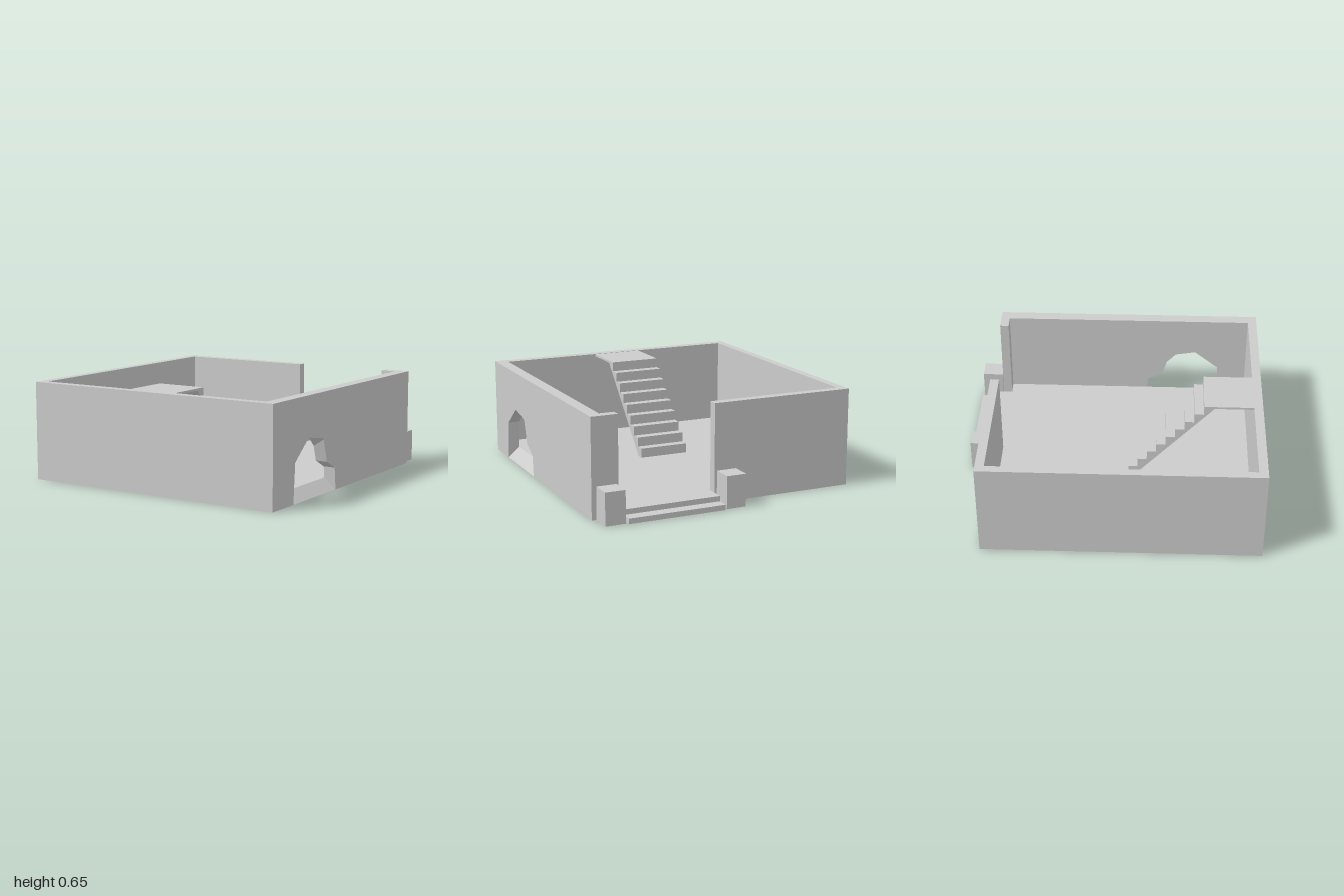
import * as THREE from 'three';

const H = 0.655;      // wall top
const F = 0.07;       // floor level
const material = new THREE.MeshStandardMaterial({ color: 0xcccccc, side: THREE.DoubleSide, flatShading: true });

function addMesh(parent, name, geometry) {
  const mesh = new THREE.Mesh(geometry, material);
  mesh.name = name;
  parent.add(mesh);
  return mesh;
}

// Strip of flat quads between two 3D paths of equal length
function band(a, b) {
  const pos = [];
  for (let i = 0; i < a.length - 1; i++) {
    for (const p of [a[i], a[i + 1], b[i + 1], a[i], b[i + 1], b[i]]) pos.push(...p);
  }
  const g = new THREE.BufferGeometry();
  g.setAttribute('position', new THREE.Float32BufferAttribute(pos, 3));
  g.computeVertexNormals();
  return g;
}

const toShape = (pts) => new THREE.Shape(pts.map(([x, y]) => new THREE.Vector2(x, y)));

// Flat panel at a given x, outlined by [z, y] points
function sidePanel(x, pts) {
  return new THREE.ShapeGeometry(toShape(pts.map(([z, y]) => [-z, y])))
    .rotateY(Math.PI / 2).translate(x, 0, 0);
}

// Open-based solid: a [z, y] profile swept from x0 to x1 with end panels
function prism(parent, name, profile, x0, x1) {
  const group = new THREE.Group();
  group.name = name;
  const at = (x) => profile.map(([z, y]) => [x, y, z]);
  addMesh(group, name + 'Surface', band(at(x0), at(x1)));
  addMesh(group, name + 'RightSide', sidePanel(x0, profile));
  addMesh(group, name + 'LeftSide', sidePanel(x1, profile));
  parent.add(group);
}

export function createModel() {
  const model = new THREE.Group();
  model.name = 'walledRoom';

  // Wall outlines as [x, z], running round from one side of the doorway to the other
  const outer = [[0.07, -0.84], [-0.915, -0.84], [-0.915, 1], [0.91, 1], [0.91, -0.84], [0.73, -0.84]];
  const inner = [[0.07, -0.78], [-0.86, -0.78], [-0.86, 0.94], [0.83, 0.94], [0.83, -0.78], [0.73, -0.78]];
  const lift = (pts, y) => pts.map(([x, z]) => [x, y, z]);

  // Plain walls, skipping the side that holds the broken opening
  const walls = new THREE.Group();
  walls.name = 'walls';
  model.add(walls);
  for (const [from, to] of [[0, 4], [4, 6]]) {
    const o = outer.slice(from, to), n = inner.slice(from, to);
    addMesh(walls, 'outerWall', band(lift(o, 0), lift(o, H)));
    addMesh(walls, 'innerWall', band(lift(n, H), lift(n, F)));
  }
  addMesh(walls, 'wallTop', band(lift(outer, H), lift(inner, H)));

  // Doorway jambs
  for (const x of [0.07, 0.73]) {
    addMesh(walls, 'doorJamb', band([[x, 0, -0.84], [x, H, -0.84]], [[x, 0, -0.78], [x, H, -0.78]]));
  }

  // Side wall with a jagged opening, [z, y]
  const archOut = [[0.755, 0], [0.735, 0.26], [0.57, 0.39], [0.39, 0.362], [0.38, 0.35],
    [0.335, 0.2], [0.23, 0.145], [0.215, 0]];
  const archIn = [[0.75, F], [0.735, 0.26], [0.57, 0.39], [0.43, 0.367], [0.365, 0.3],
    [0.335, 0.2], [0.23, 0.145], [0.222, F]];
  addMesh(walls, 'outerSideWall', sidePanel(0.91, [[1, 0], ...archOut, [-0.84, 0], [-0.84, H], [1, H]]));
  addMesh(walls, 'innerSideWall', sidePanel(0.83, [[0.94, F], ...archIn, [-0.78, F], [-0.78, H], [0.94, H]]));
  const rimOut = archOut.map(([z, y]) => [0.91, y, z]);
  const rimIn = archIn.map(([z, y]) => [0.83, y, z]);
  addMesh(walls, 'openingEdge', band(rimIn, rimOut));
  addMesh(walls, 'openingRamp', band([rimOut[0], rimOut.at(-1)], [rimIn[0], rimIn.at(-1)]));

  // Floor sheet running out through the doorway, cut away under the stair foot
  const sx0 = -0.19, sx1 = 0.155;
  const floor = toShape([...inner.slice(0, 6), [0.73, -0.92], [0.07, -0.92]].map(([x, z]) => [x, -z]));
  floor.holes.push(toShape([[sx0, -0.11], [sx1, -0.11], [sx1, -0.16], [sx0, -0.16]]));
  addMesh(model, 'floor', new THREE.ShapeGeometry(floor).rotateX(-Math.PI / 2).translate(0, F, 0));

  // Door step
  prism(model, 'doorStep', [[-1, 0], [-1, 0.035], [-0.92, 0.035], [-0.92, F], [-0.84, F], [-0.84, 0]], 0.07, 0.73);

  // Pillars beside the doorway
  const pillar = [[-0.985, 0], [-0.985, 0.215], [-0.845, 0.215], [-0.845, 0]];
  prism(model, 'rightPillar', pillar, -0.08, 0.055);
  prism(model, 'leftPillar', pillar, 0.745, 0.88);

  // Stairs with a sloped underside and a thin landing
  const steps = 9, run = 0.0625, rise = (H - 0.002 - F) / steps;
  const stair = [[0.11, F]];
  for (let i = 0; i < steps; i++) {
    const z = 0.11 + run * i, y = F + rise * (i + 1);
    stair.push([z, y], [i === steps - 1 ? 0.94 : z + run, y]);
  }
  stair.push([0.94, 0.638], [0.68, 0.638], [0.16, F]);
  prism(model, 'stairs', stair, sx0, sx1);

  return model;
}
